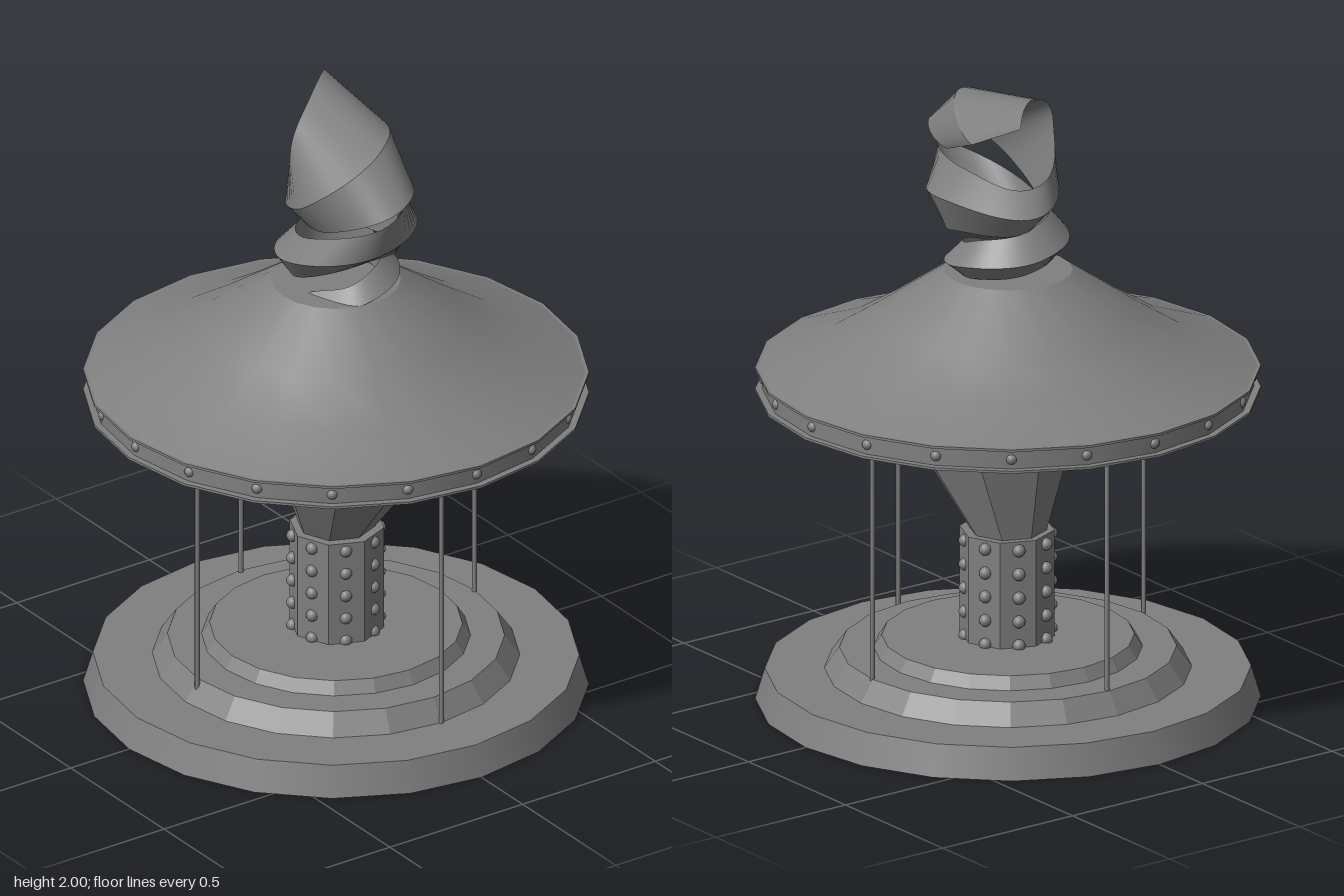
import * as THREE from 'three';

const color = 0x808080;
const smooth = new THREE.MeshStandardMaterial({ color });
const flat = new THREE.MeshStandardMaterial({ color, flatShading: true });
const twoSided = new THREE.MeshStandardMaterial({ color, side: THREE.DoubleSide });

function add(parent, name, geometry, material = flat) {
  const mesh = new THREE.Mesh(geometry, material);
  mesh.name = name;
  parent.add(mesh);
  return mesh;
}

// Drum from y0 to y1 whose centre drifts from z0 to z1
function drum(r0, r1, y0, y1, sides, z0 = 0, z1 = 0) {
  const g = new THREE.CylinderGeometry(r1, r0, y1 - y0, sides);
  g.translate(0, (y0 + y1) / 2, 0);
  const p = g.attributes.position;
  for (let i = 0; i < p.count; i++) {
    const t = (p.getY(i) - y0) / (y1 - y0);
    p.setZ(i, p.getZ(i) + z0 + (z1 - z0) * t);
  }
  return g;
}

// Ring of round bolts
function boltRing(parent, name, count, radius, y, size, phase = 0) {
  const g = new THREE.SphereGeometry(size, 10, 8);
  for (let i = 0; i < count; i++) {
    const a = phase + (i / count) * Math.PI * 2;
    add(parent, name, g, smooth).position.set(Math.sin(a) * radius, y, Math.cos(a) * radius);
  }
}

// Triangular ribbon wound into a leaning spiral, one station per quarter turn
function spiralGeometry() {
  // [y, z] of the upper edge, outer ridge and lower edge; the last only steers the tip
  const stations = [
    [1.39, 0, 1.36, 0, 1.33, 0],
    [1.46, 0.14, 1.41, 0.2, 1.37, 0.14],
    [1.52, 0, 1.45, 0, 1.4, 0],
    [1.57, -0.13, 1.49, -0.2, 1.42, -0.12],
    [1.61, 0.06, 1.53, 0.03, 1.45, 0],
    [1.73, 0.31, 1.61, 0.28, 1.51, 0.14],
    [1.75, 0.04, 1.65, 0.08, 1.53, 0.1],
    [1.71, -0.15, 1.63, -0.19, 1.57, -0.13],
    [1.86, -0.04, 1.76, 0.12, 1.68, 0.18],
    [1.99, -0.13, 1.93, 0.23, 1.8, 0.365],
    [1.96, -0.26, 1.87, -0.08, 1.79, 0.12],
    [1.86, -0.13, 1.85, -0.1, 1.8, 0],
  ];
  const perTurn = 12;
  const n = (stations.length - 2) * perTurn;
  const rows = [0, 1, 2].map((row) => {
    const r = row === 1 ? 0.2 : 0.145;
    const pts = stations.map((s, i) =>
      new THREE.Vector3(r * Math.round(Math.sin((i - 1) * Math.PI / 2)), s[row * 2], s[row * 2 + 1]));
    return new THREE.CatmullRomCurve3(pts, false, 'catmullrom', 0.8).getPoints(n + perTurn);
  });
  const pos = [], idx = [];
  for (let f = 0; f < 3; f++) {
    const base = pos.length / 3;
    for (let i = 0; i <= n; i++) pos.push(...rows[f][i].toArray(), ...rows[(f + 1) % 3][i].toArray());
    for (let i = 0; i < n; i++) {
      const a = base + i * 2, c = a + 1, b = a + 2, d = a + 3;
      idx.push(c, d, b, c, b, a);
    }
  }
  // end caps
  for (const [i, order] of [[0, [0, 1, 2]], [n, [2, 1, 0]]]) {
    const base = pos.length / 3;
    for (const k of order) pos.push(...rows[k][i].toArray());
    idx.push(base, base + 1, base + 2);
  }
  const g = new THREE.BufferGeometry();
  g.setAttribute('position', new THREE.Float32BufferAttribute(pos, 3));
  g.setIndex(idx);
  g.computeVertexNormals();
  return g;
}

export function createModel() {
  const model = new THREE.Group();
  model.name = 'carousel';

  // Stepped base
  add(model, 'baseStep', drum(0.78, 0.75, 0, 0.1, 20), smooth);
  add(model, 'middleStep', drum(0.567, 0.52, 0.1, 0.167, 20));
  add(model, 'topStep', drum(0.415, 0.39, 0.167, 0.207, 20));

  // Riveted column, flared collar and leaning neck
  const column = new THREE.Group();
  column.name = 'column';
  model.add(column);
  add(column, 'columnShaft', drum(0.148, 0.148, 0.2, 0.553, 8, 0.005, 0.005));
  for (let i = 0; i < 5; i++) {
    boltRing(column, 'columnBolt', 8, 0.137, 0.215 + i * 0.0775, 0.02, Math.PI / 8);
  }
  add(column, 'flaredCollar', drum(0.12, 0.24, 0.55, 0.8, 8, 0, 0.08));
  add(column, 'leaningNeck', drum(0.133, 0.133, 0.8, 1.01, 8, 0.08, 0));

  // Poles
  for (const [x, z] of [[-0.53, 0.01], [0.515, 0.01], [0, 0.565], [0, -0.51]]) {
    add(model, 'pole', new THREE.CylinderGeometry(0.008, 0.008, 0.91, 8), smooth).position.set(x, 0.555, z);
  }

  // Canopy rim
  const canopy = new THREE.Group();
  canopy.name = 'canopy';
  model.add(canopy);
  add(canopy, 'lowerLip', drum(0.78, 0.78, 1.005, 1.013, 20), smooth);
  add(canopy, 'rimBand', drum(0.758, 0.758, 1.01, 1.077, 20), smooth);
  add(canopy, 'upperLip', drum(0.78, 0.78, 1.075, 1.083, 20), smooth);
  boltRing(canopy, 'rimBolt', 20, 0.75, 1.043, 0.018);

  // Curved roof
  const profile = [[0.77, 1.083], [0.56, 1.16], [0.41, 1.255], [0.2, 1.4]].map((p) => new THREE.Vector2(...p));
  add(canopy, 'roof', new THREE.LatheGeometry(profile, 20), twoSided);
  const cap = add(canopy, 'roofCap', new THREE.CircleGeometry(0.2, 20, Math.PI / 2), smooth);
  cap.rotation.x = -Math.PI / 2;
  cap.position.y = 1.4;

  // Spiral finial
  add(model, 'spiralFinial', spiralGeometry(), twoSided);

  return model;
}
